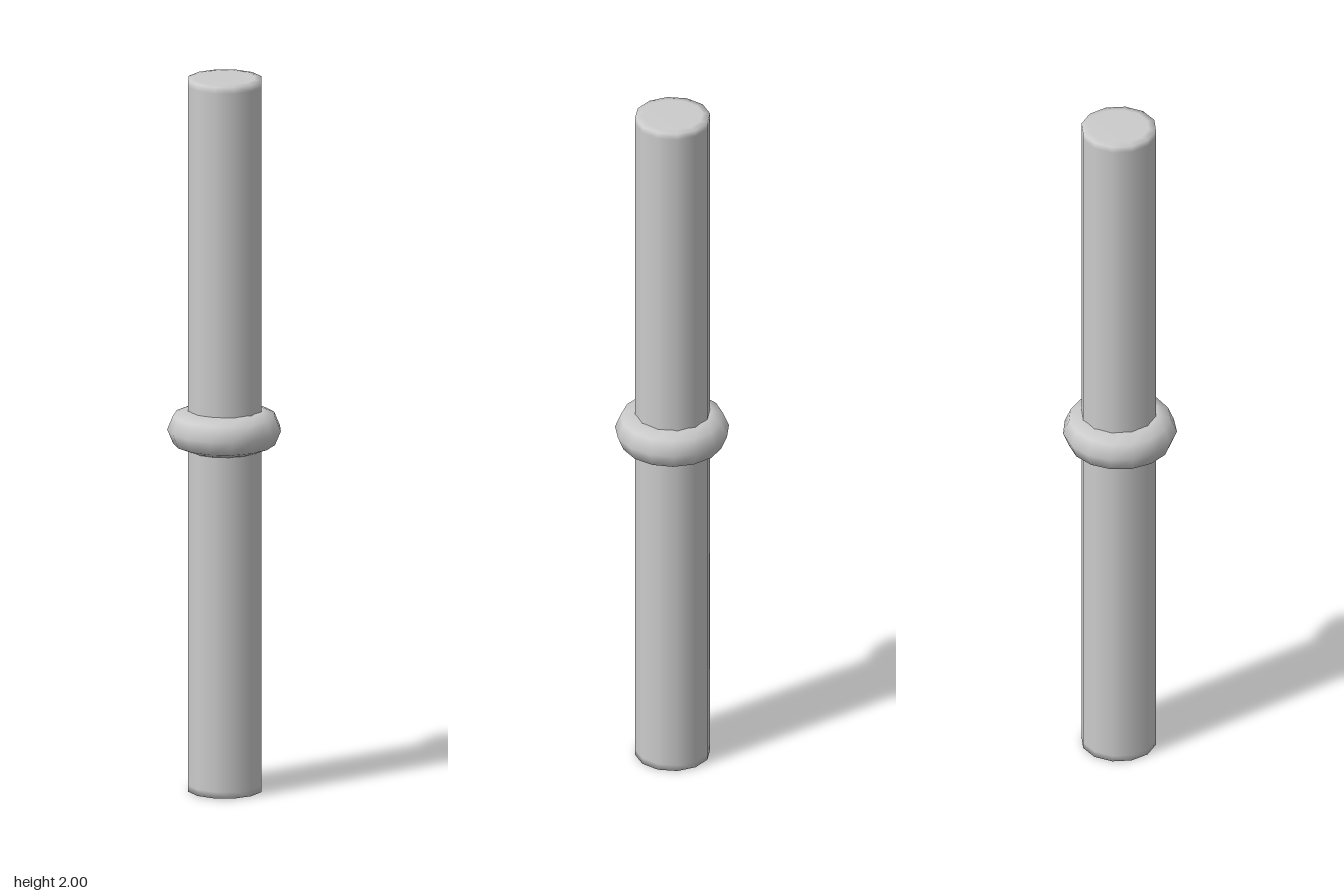
import * as THREE from 'three';

export function createModel() {
  const group = new THREE.Group();
  const material = new THREE.MeshStandardMaterial({ color: 0xcccccc });

  // Twelve-sided closed rod with slightly softened rims
  const r = 0.103, h = 2, inset = 0.02;
  const profile = [
    [0, 0], [r - inset, 0], [r, 0.002], [r, inset],
    [r, h - inset], [r, h - 0.002], [r - inset, h], [0, h],
  ].map(([x, y]) => new THREE.Vector2(x, y));
  const shaft = new THREE.Mesh(new THREE.LatheGeometry(profile, 12), material);
  shaft.name = 'shaft';
  shaft.position.z = -0.003;
  group.add(shaft);

  // Fifteen-sided collar around the middle
  const ringGeometry = new THREE.TorusGeometry(0.1, 0.056, 8, 15);
  ringGeometry.rotateX(Math.PI / 2);
  const ring = new THREE.Mesh(ringGeometry, material);
  ring.name = 'collarRing';
  ring.position.set(-0.002, 1.015, -0.001);
  group.add(ring);

  return group;
}
